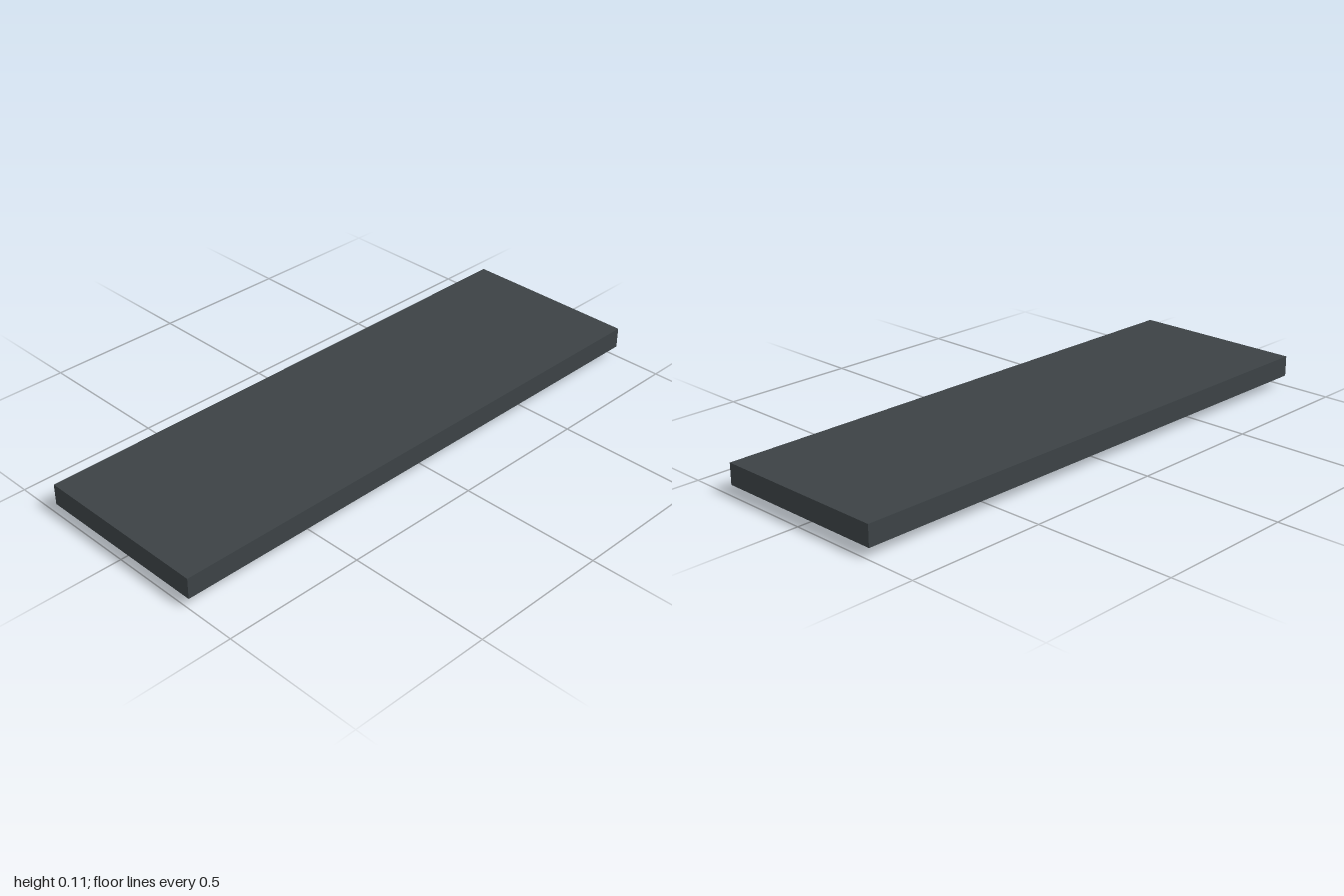
import * as THREE from 'three';

export function createModel() {
  const model = new THREE.Group();
  const slate = new THREE.MeshStandardMaterial({ color: 0x3c4245 });
  const panelGrey = new THREE.MeshStandardMaterial({ color: 0x59636b });
  const grey = new THREE.MeshStandardMaterial({ color: 0xcccccc });

  // Box centred on z = 0, spanning y0..y1
  function slab(name, material, x, width, y0, y1, depth) {
    const mesh = new THREE.Mesh(new THREE.BoxGeometry(width, y1 - y0, depth), material);
    mesh.name = name;
    mesh.position.set(x, (y0 + y1) / 2, 0);
    model.add(mesh);
  }

  // Thick top and the thinner panel recessed beneath it
  slab('topSlab', slate, 0, 2, 0.038, 0.112, 0.642);
  slab('underPanel', panelGrey, 0, 1.73, 0.025, 0.038, 0.506);

  // Flat rails under both ends of the panel
  for (const [side, name] of [[1, 'leftRail'], [-1, 'rightRail']]) {
    slab(name, grey, side * 0.863, 0.055, 0.006, 0.025, 0.506);
  }

  // Narrow rib across the middle
  slab('centreRib', grey, 0, 0.018, 0, 0.025, 0.446);

  return model;
}
